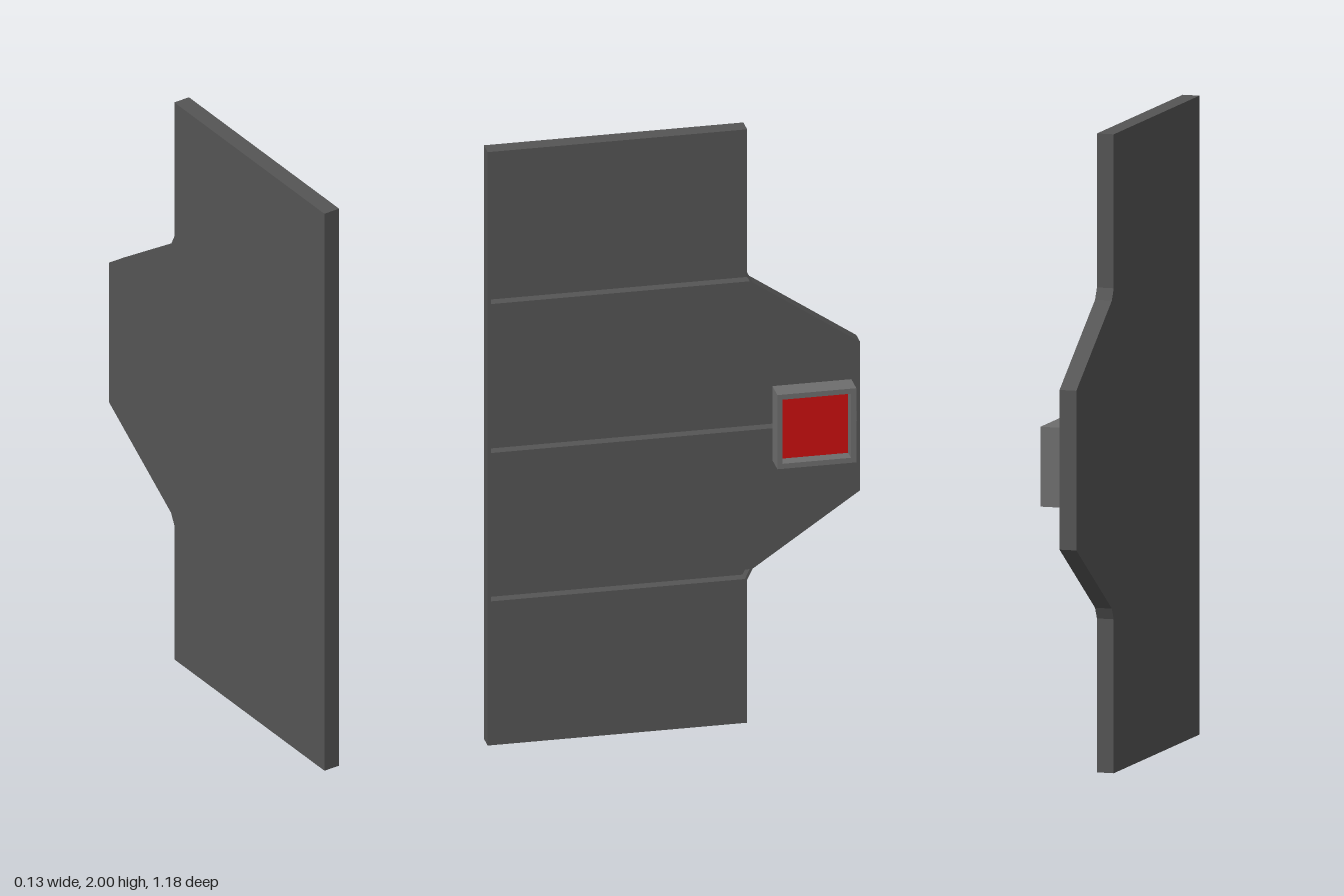
import * as THREE from 'three';

const paint = (color) => new THREE.MeshStandardMaterial({ color, flatShading: true });

// Extrudes a side profile (points are [-z, y]) from x0 to x1
function slab(name, points, holes, x0, x1, material) {
  const toVectors = (list) => list.map(([u, v]) => new THREE.Vector2(u, v));
  const shape = new THREE.Shape(toVectors(points));
  for (const hole of holes) shape.holes.push(new THREE.Path(toVectors(hole)));
  const geometry = new THREE.ExtrudeGeometry(shape, { depth: x1 - x0, bevelEnabled: false });
  geometry.rotateY(Math.PI / 2).translate(x0, 0, 0);
  const mesh = new THREE.Mesh(geometry, material);
  mesh.name = name;
  return mesh;
}

const rect = (u0, u1, v0, v1) => [[u0, v0], [u1, v0], [u1, v1], [u0, v1]];

export function createModel() {
  const model = new THREE.Group();
  model.name = 'doorPanel';
  const dark = paint(0x555555);
  const grey = paint(0x6e6e6e);
  const red = paint(0xcc1010);

  // Panel outline, mirrored about y = 1
  const lower = [[-0.59, 0], [0.232, 0], [0.232, 0.482], [0.25, 0.518], [0.59, 0.75]];
  const upper = lower.map(([u, v]) => [u, 2 - v]).reverse();
  const outline = [...lower, ...upper];

  // Three long grooves; the outer two end on the slanted corner
  const grooves = [
    [[-0.58, 0.485], [0.225, 0.485], [0.24, 0.517], [-0.58, 0.517]],
    rect(-0.58, 0.58, 0.985, 1.018),
    [[-0.58, 1.487], [0.24, 1.487], [0.225, 1.52], [-0.58, 1.52]],
  ];
  const back = -0.065, floor = -0.045, face = -0.01;
  const panel = new THREE.Group();
  panel.name = 'panel';
  panel.add(
    slab('panelBack', outline, [], back, floor, dark),
    slab('panelGroovedFace', outline, grooves, floor, face, dark),
  );
  model.add(panel);

  // Control box: open frame around a recessed red plate
  const controlBox = new THREE.Group();
  controlBox.name = 'controlBox';
  controlBox.add(
    slab('controlFrame', rect(0.312, 0.562, 0.877, 1.127),
      [rect(0.328, 0.545, 0.894, 1.11)], face, 0.062, grey),
    slab('redPlate', rect(0.328, 0.545, 0.894, 1.11), [], face, 0.022, red),
  );
  model.add(controlBox);

  return model;
}
